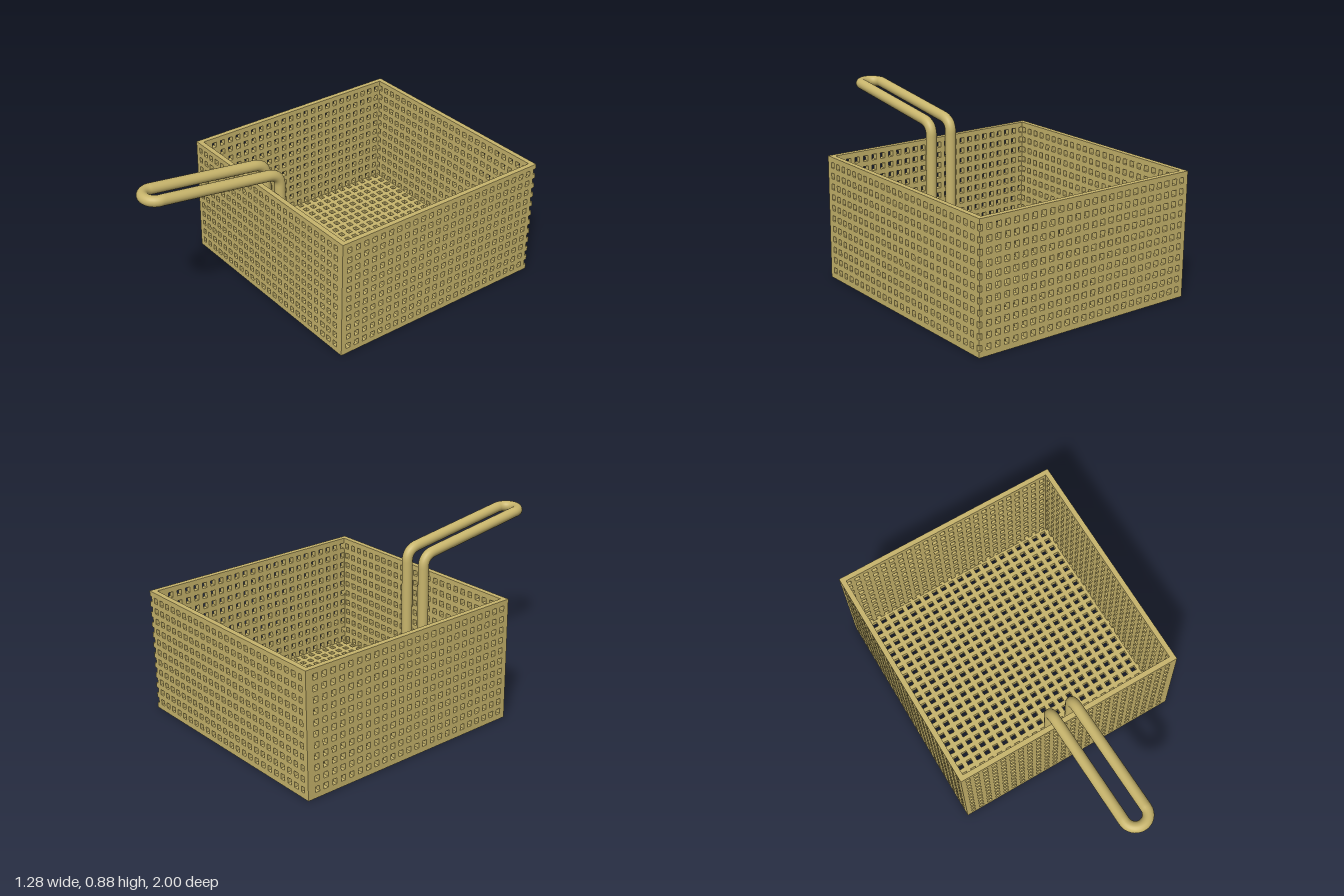
import * as THREE from 'three';

const X = 0.64, Z0 = -1, Z1 = 0.29, H = 0.66, T = 0.028;
const HOLE = 0.03, TUBE = 0.029;

// Evenly spaced hole centres from a to b
const spread = (a, b, n) => Array.from({ length: n }, (_, i) => a + (b - a) * i / (n - 1));

// Perforated plate in XY; notch = +1 / -1 opens a half hole along that end edge
function plate(u0, u1, v0, v1, us, vs, hw, hh, notch = 0) {
  const depth = HOLE / 2;
  const pts = [[u0, v0], [u1, v0]];
  if (notch > 0) for (const v of vs)
    pts.push([u1, v - hh / 2], [u1 - depth, v - hh / 2], [u1 - depth, v + hh / 2], [u1, v + hh / 2]);
  pts.push([u1, v1], [u0, v1]);
  if (notch < 0) for (const v of [...vs].reverse())
    pts.push([u0, v + hh / 2], [u0 + depth, v + hh / 2], [u0 + depth, v - hh / 2], [u0, v - hh / 2]);
  const shape = new THREE.Shape(pts.map(p => new THREE.Vector2(...p)));
  for (const u of us) for (const v of vs) {
    const a = u - hw / 2, b = u + hw / 2, c = v - hh / 2, d = v + hh / 2;
    shape.holes.push(new THREE.Path([[a, c], [a, d], [b, d], [b, c]].map(p => new THREE.Vector2(...p))));
  }
  return new THREE.ExtrudeGeometry(shape, { depth: T, bevelEnabled: false });
}

export function createModel() {
  const group = new THREE.Group();
  const metal = new THREE.MeshStandardMaterial({ color: 0xc8b56c });
  const add = (name, geometry) => {
    const mesh = new THREE.Mesh(geometry, metal);
    mesh.name = name;
    group.add(mesh);
  };

  const xs = spread(-0.603, 0.586, 24);
  const zs = spread(-0.946, 0.246, 24);
  const ys = spread(0.045, 0.617, 11);

  // Front and back walls
  add('frontWall', plate(-X, X, 0, H, xs, ys, 0.028, HOLE).translate(0, 0, Z1 - T));
  add('backWall', plate(-X, X, 0, H, xs, ys, 0.028, HOLE, 1).translate(0, 0, Z0));

  // Side walls, turned so that the plate's length runs along z
  add('leftWall', plate(Z0, Z1, 0, H, zs, ys, 0.026, HOLE, -1).rotateY(-Math.PI / 2).translate(X, 0, 0));
  add('rightWall', plate(Z0, Z1, 0, H, zs, ys, 0.026, HOLE).rotateY(-Math.PI / 2).translate(-X + T, 0, 0));

  // Floor
  add('floor', plate(-X, X, Z0, Z1, spread(-0.596, 0.582, 22), zs, HOLE, 0.027)
    .rotateX(Math.PI / 2).translate(0, T, 0));

  // Handle: one bent rod, up the inside, out over the front wall and back
  const cx = -0.023, r = 0.063, zv = 0.225, foot = 0.05;
  const side = s => [[foot, zv], [0.69, zv], [0.764, 0.3], [0.848, 0.908]]
    .map(([y, z]) => new THREE.Vector3(cx + s * r, y, z));
  const L = side(1), R = side(-1);
  const corner = s => new THREE.Vector3(cx + s * r, 0.755, zv);
  const path = new THREE.CurvePath();
  path.add(new THREE.LineCurve3(L[0], L[1]));
  path.add(new THREE.QuadraticBezierCurve3(L[1], corner(1), L[2]));
  path.add(new THREE.LineCurve3(L[2], L[3]));
  const k = r * 0.5523, tip = new THREE.Vector3(cx, 0.85, 0.971);
  const shift = (p, x, z) => new THREE.Vector3(p.x + x, p.y, p.z + z);
  path.add(new THREE.CubicBezierCurve3(L[3], shift(L[3], 0, k), shift(tip, k, 0), tip));
  path.add(new THREE.CubicBezierCurve3(tip, shift(tip, -k, 0), shift(R[3], 0, k), R[3]));
  path.add(new THREE.LineCurve3(R[3], R[2]));
  path.add(new THREE.QuadraticBezierCurve3(R[2], corner(-1), R[1]));
  path.add(new THREE.LineCurve3(R[1], R[0]));
  add('handle', new THREE.TubeGeometry(path, 240, TUBE, 20, false));

  // Flat ends of the rod
  for (const s of [-1, 1])
    add('handleEnd', new THREE.CircleGeometry(TUBE, 20).rotateX(Math.PI / 2).translate(cx + s * r, foot, zv));

  return group;
}
